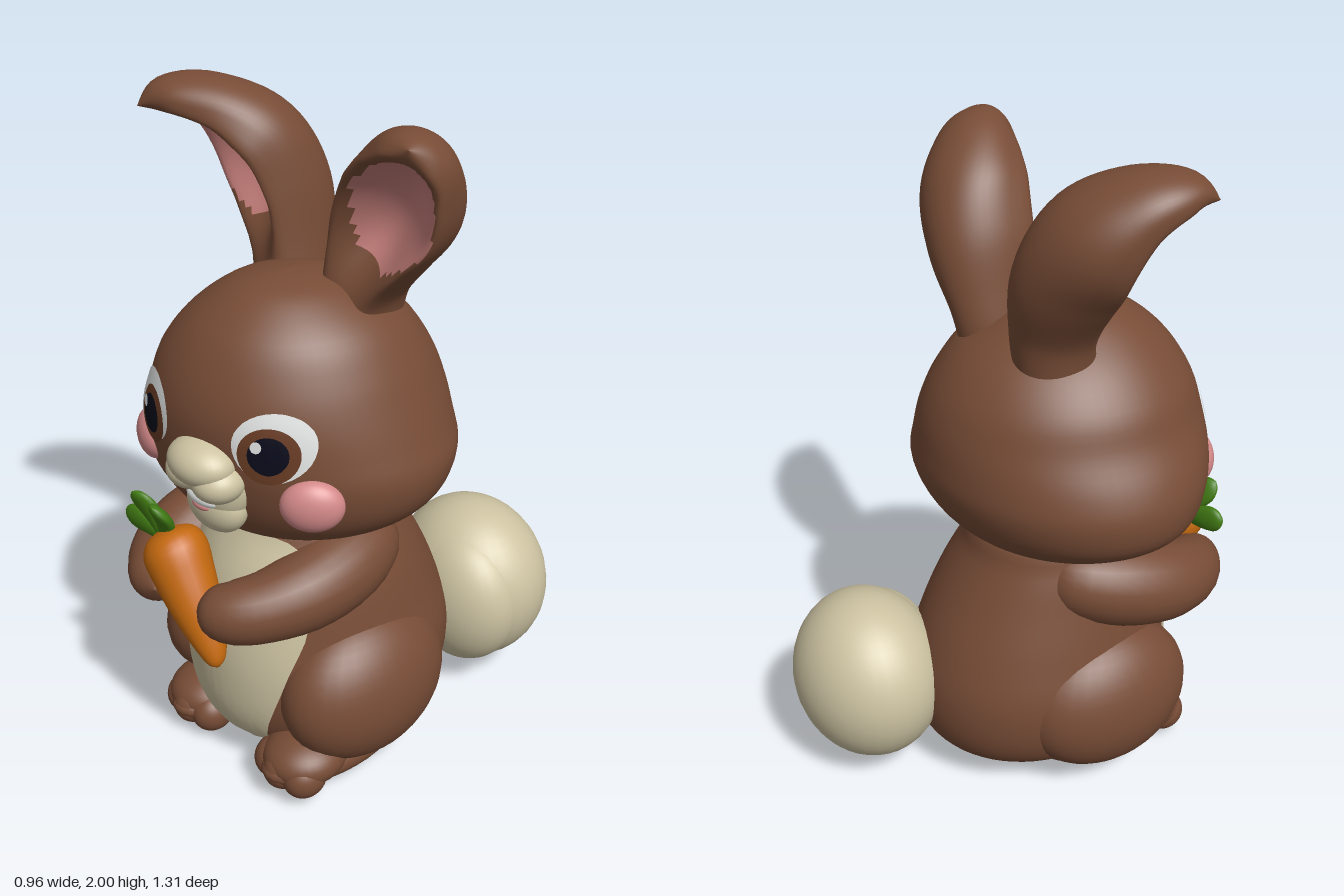
import * as THREE from 'three';

const V = (x, y, z) => new THREE.Vector3(x, y, z);
const flat = (name, color) => Object.assign(new THREE.MeshStandardMaterial({ color }), { name });

// Smoothly resample rows of numbers
function smooth(rows, n) {
  const cols = rows[0].map((_, c) => new THREE.SplineCurve(rows.map((r, i) => new THREE.Vector2(i, r[c]))));
  return Array.from({ length: n + 1 }, (_, i) => cols.map(c => c.getPoint(i / n).y));
}

// Skin a list of closed rings; pick(i, j) gives the material index of a quad
function loft(rings, pick = () => 0) {
  const m = rings[0].length, index = [[], []];
  for (let i = 0; i < rings.length - 1; i++) {
    for (let j = 0; j < m; j++) {
      const k = (j + 1) % m, a = i * m + j, b = i * m + k, c = b + m, d = a + m;
      index[pick(i, j)].push(a, b, c, a, c, d);
    }
  }
  const g = new THREE.BufferGeometry().setFromPoints(rings.flat());
  g.setIndex([...index[0], ...index[1]]);
  g.addGroup(0, index[0].length, 0);
  g.addGroup(index[0].length, index[1].length, 1);
  g.computeVertexNormals();
  return g;
}

// Upright form from rows of y, centre x, half width, back z, front z; skew turns it slightly
function upright(rows, skew, n = 48, m = 64) {
  return smooth(rows, n).map(([y, cx, rx, zb, zf]) => Array.from({ length: m }, (_, j) => {
    const a = j / m * Math.PI * 2, x = cx + Math.max(rx, 0) * Math.sin(a);
    return V(x, y, (zb + zf) / 2 + (zf - zb) / 2 * Math.cos(a) + skew * x);
  }));
}

// Sweep along rows of x, y, z, width, thickness, dent; side is the width direction
function sweep(rows, side, n = 24, m = 24) {
  const s = smooth(rows, n), p = s.map(r => V(r[0], r[1], r[2]));
  return s.map((r, i) => {
    const T = p[Math.min(i + 1, n)].clone().sub(p[Math.max(i - 1, 0)]).normalize();
    const U = side.clone().addScaledVector(T, -side.dot(T)).normalize();
    const N = T.clone().cross(U);
    const w = Math.max(r[3], 0), t = Math.max(r[4] ?? r[3], 0), dent = r[5] ?? 0;
    return Array.from({ length: m }, (_, j) => {
      const a = j / m * Math.PI * 2, q = Math.sin(a);
      const h = q > 0 ? q * (1 - dent) + dent * (2 * q - 2.2 * q * q) : q;
      return p[i].clone().addScaledVector(U, w * Math.cos(a)).addScaledVector(N, t * h);
    });
  });
}

// Thin painted patch laid on a form; outline runs counter-clockwise in x, y
function patch(target, outline, cx, cy, lift) {
  const ray = new THREE.Raycaster(), rings = [];
  let z = 0.4;
  for (let i = 0; i <= 10; i++) {
    const k = 1 - i / 10;
    rings.push(outline.map(o => {
      const x = cx + (o.x - cx) * k, y = cy + (o.y - cy) * k;
      ray.set(V(x, y, 3), V(0, 0, -1));
      const hit = ray.intersectObject(target)[0];
      if (!hit) return V(x, y, z);
      z = hit.point.z;
      return hit.point.clone().addScaledVector(hit.face.normal, lift);
    }));
  }
  return loft(rings);
}
const oval = (cx, cy, rx, ry) => new THREE.EllipseCurve(cx, cy, rx, ry).getPoints(32).slice(0, 32);

export function createModel() {
  const model = new THREE.Group();
  model.name = 'rabbit';
  const brown = flat('brown fur', 0x774c36), cream = flat('cream fur', 0xcdc3a2);
  const rose = flat('inner ear pink', 0xc47e7a), pink = flat('cheek pink', 0xd58a8a);
  const white = flat('white', 0xe4e6e6), iris = flat('iris brown', 0x6a3d25);
  const navy = flat('pupil navy', 0x0b0c1c), orange = flat('carrot orange', 0xc4690f);
  const green = flat('leaf green', 0x427c14);

  const add = (name, geo, mat) => {
    const mesh = new THREE.Mesh(geo, mat);
    mesh.name = name;
    model.add(mesh);
    return mesh;
  };
  const ball = (name, mat, p, r) => {
    const mesh = add(name, new THREE.SphereGeometry(1, 32, 24), mat);
    mesh.position.set(...p);
    mesh.scale.set(...r);
    return mesh;
  };
  const spot = (name, mat, on, x, y, rx, ry, lift) =>
    add(name, patch(on, oval(x, y, rx, ry), x, y, lift), mat);

  // Torso, cream belly and tail
  const body = add('body', loft(upright([
    [0.05, 0, 0, 0.05, 0.15], [0.06, 0, 0.2, -0.17, 0.34], [0.12, 0, 0.31, -0.27, 0.45],
    [0.22, 0, 0.365, -0.32, 0.5], [0.36, 0, 0.375, -0.325, 0.515], [0.5, 0, 0.345, -0.285, 0.51],
    [0.64, 0, 0.31, -0.22, 0.485], [0.77, -0.01, 0.265, -0.15, 0.44], [0.87, -0.01, 0.21, -0.1, 0.38], [0.9, 0, 0, 0.1, 0.15]], 0)), brown);
  const bib = new THREE.CatmullRomCurve3([[0.02, 0.065], [0.11, 0.1], [0.18, 0.25], [0.23, 0.42], [0.25, 0.58], [0.17, 0.8],
    [-0.2, 0.8], [-0.26, 0.6], [-0.24, 0.42], [-0.16, 0.22], [-0.07, 0.08]].map(p => V(p[0], p[1], 0)), true);
  add('belly', patch(body, bib.getPoints(48).slice(0, 48), -0.01, 0.42, 0.008), cream);
  ball('bellyUnderside', cream, [0, 0.105, 0.22], [0.11, 0.06, 0.17]);
  ball('tail', cream, [0.16, 0.335, -0.43], [0.265, 0.275, 0.23]);
  ball('tailBase', cream, [0.2, 0.325, -0.345], [0.212, 0.235, 0.155]);

  // Head
  const head = add('head', loft(upright([
    [0.775, -0.01, 0, 0.1, 0.22], [0.8, -0.01, 0.22, -0.05, 0.38], [0.85, -0.01, 0.345, -0.14, 0.46], [0.93, -0.02, 0.435, -0.21, 0.51],
    [1.03, -0.02, 0.46, -0.25, 0.54], [1.12, -0.02, 0.435, -0.25, 0.555], [1.22, -0.01, 0.388, -0.235, 0.555],
    [1.32, -0.01, 0.345, -0.195, 0.525], [1.42, 0, 0.272, -0.115, 0.465], [1.5, 0, 0.165, 0.01, 0.37],
    [1.53, 0, 0.08, 0.09, 0.29], [1.54, 0, 0, 0.19, 0.2]], -0.1)), brown);

  // Ears with a pointed pink hollow, set nearer the outer rim
  const ear = (name, rows, side, middle) => {
    const pickPink = (i, j) => {
      const along = (i - 10) / 24;
      return along > 0 && along < 1 && Math.abs(j + 0.5 - middle) < 7.6 * Math.sin(Math.PI * along ** 0.75) ** 0.6 ? 1 : 0;
    };
    add(name, loft(sweep(rows, side, 40, 48), pickPink), [brown, rose]);
  };
  ear('rightEar', [
    [-0.13, 1.38, 0.07, 0.1, 0.12, 0], [-0.15, 1.52, 0.065, 0.1, 0.145, 0.4], [-0.205, 1.68, 0.065, 0.14, 0.17, 0.9],
    [-0.27, 1.81, 0.1, 0.17, 0.155, 1], [-0.34, 1.905, 0.18, 0.14, 0.1, 0.9],
    [-0.4, 1.94, 0.28, 0.085, 0.055, 0.5], [-0.435, 1.92, 0.345, 0, 0, 0]], V(-0.95, 0, -0.25), 11);
  ear('leftEar', [
    [0.12, 1.36, 0.05, 0.1, 0.13, 0], [0.15, 1.5, 0.055, 0.1, 0.16, 0.4], [0.22, 1.65, 0.055, 0.14, 0.18, 0.9],
    [0.3, 1.77, 0.07, 0.16, 0.165, 1], [0.365, 1.87, 0.11, 0.13, 0.12, 0.9],
    [0.41, 1.93, 0.16, 0.08, 0.065, 0.5], [0.44, 1.96, 0.2, 0, 0, 0]], V(-1, 0, 0.05), 13);

  // Eyes and cheeks
  for (const [side, x, y, rx, px, py] of [['right', -0.18, 1.18, 0.097, -0.166, 1.16], ['left', 0.22, 1.17, 0.088, 0.215, 1.15]]) {
    spot(side + 'EyeWhite', white, head, x, y, rx, 0.098, 0.005);
    spot(side + 'Iris', iris, head, px, py, 0.068, 0.08, 0.009);
    spot(side + 'Pupil', navy, head, px + 0.002, py + 0.004, 0.044, 0.054, 0.013);
    spot(side + 'EyeGlint', white, head, px - 0.022, py + 0.03, 0.013, 0.016, 0.017);
  }
  ball('rightCheek', pink, [-0.257, 1.045, 0.488], [0.082, 0.075, 0.05]).rotation.y = -0.45;
  ball('leftCheek', pink, [0.307, 1.01, 0.395], [0.088, 0.076, 0.05]).rotation.y = 0.75;

  // Muzzle
  ball('muzzle', cream, [0.035, 1.025, 0.495], [0.118, 0.13, 0.075]);
  ball('nose', cream, [0.035, 1.095, 0.545], [0.108, 0.068, 0.085]);
  for (const s of [-1, 1]) ball('lip', cream, [0.035 + s * 0.055, 1.05, 0.535], [0.074, 0.058, 0.075]);
  ball('chin', cream, [0.035, 0.95, 0.5], [0.108, 0.085, 0.065]);
  ball('teeth', white, [0.035, 0.985, 0.545], [0.065, 0.025, 0.03]);
  ball('tongue', pink, [0.037, 0.965, 0.548], [0.042, 0.018, 0.025]);

  // Arms
  const up = V(0, 1, 0);
  const leftArm = sweep([
    [0.15, 0.74, 0, 0], [0.18, 0.73, 0.06, 0.1], [0.215, 0.7, 0.19, 0.125], [0.22, 0.675, 0.34, 0.118],
    [0.185, 0.655, 0.46, 0.102], [0.13, 0.645, 0.54, 0.09], [0.07, 0.645, 0.57, 0.065], [0.035, 0.645, 0.58, 0]], up);
  add('leftArm', loft(leftArm), brown);
  const rightArm = sweep([
    [-0.15, 0.74, 0, 0], [-0.19, 0.73, 0.06, 0.1], [-0.25, 0.695, 0.19, 0.13], [-0.278, 0.66, 0.34, 0.13],
    [-0.26, 0.635, 0.46, 0.115], [-0.21, 0.62, 0.54, 0.095], [-0.165, 0.615, 0.585, 0.065], [-0.14, 0.615, 0.61, 0]], up);
  add('rightArm', loft(rightArm), brown);

  // Legs, feet and toes
  for (const [side, s, x, y] of [['left', 1, 0.24, 0.105], ['right', -1, -0.19, 0.09]]) {
    const thigh = ball(side + 'Thigh', brown, [s * 0.272, 0.305, 0.17], [0.18, 0.24, 0.29]);
    thigh.rotation.z = s * 0.12;
    const foot = ball(side + 'Foot', brown, [x, y - 0.015, 0.265], [0.12, 0.07, 0.265]);
    foot.rotation.x = -0.08;
    ball(side + 'Instep', brown, [x + s * 0.01, y + 0.02, 0.385], [0.122, 0.078, 0.13]);
    for (const k of [-1, 0, 1]) {
      const back = Math.abs(k);
      ball(side + 'Toe', brown, [x + k * 0.062, y - back * 0.008, 0.455 - back * 0.02], [0.062, 0.066, 0.07]);
    }
  }

  // Carrot with three leaves
  const front = V(0, 0, 1);
  const root = sweep([
    [-0.15, 0.8, 0.55, 0], [-0.14, 0.785, 0.55, 0.065], [-0.11, 0.745, 0.55, 0.095], [-0.06, 0.675, 0.555, 0.088],
    [0, 0.59, 0.56, 0.072], [0.055, 0.51, 0.565, 0.048], [0.085, 0.465, 0.57, 0.026], [0.095, 0.45, 0.57, 0]], front);
  add('carrot', loft(root), orange);
  for (const [x, y, z] of [[-0.3, 0.805, 0.58], [-0.23, 0.905, 0.6], [-0.115, 0.905, 0.615]]) {
    const at = (k, w, t) => [-0.145 + (x + 0.145) * k, 0.77 + (y - 0.77) * k, 0.55 + (z - 0.55) * k * k, t, w];
    const leaf = [at(0, 0.02, 0.02), at(0.4, 0.035, 0.022), at(0.75, 0.042, 0.018), at(0.93, 0.025, 0.012), at(1, 0, 0)];
    add('carrotLeaf', loft(sweep(leaf, front, 12, 12)), green);
  }
  return model;
}
